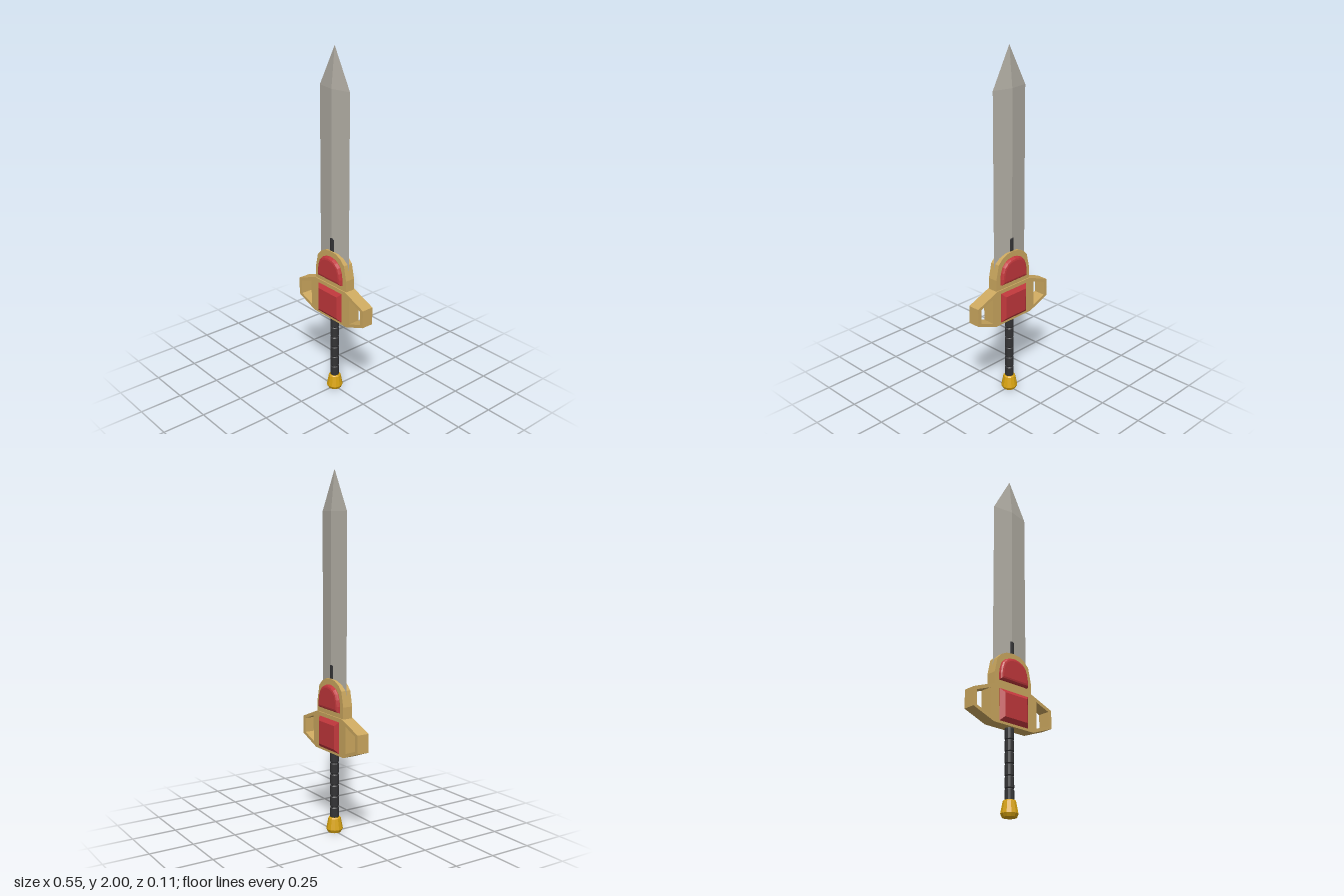
import * as THREE from 'three';

const mat = (name, color) => {
  const m = new THREE.MeshStandardMaterial({ color, flatShading: true });
  m.name = name;
  return m;
};

export function createModel() {
  const steel = mat('steel', 0xb4b0a6);
  const tan = mat('tan gold', 0xcca85f);
  const red = mat('red enamel', 0xc2383c);
  const black = mat('black grip', 0x333335);
  const gold = mat('pommel gold', 0xd9a411);

  const model = new THREE.Group();
  model.name = 'sword';
  const add = (name, geometry, material, y = 0) => {
    const mesh = new THREE.Mesh(geometry, material);
    mesh.name = name;
    mesh.position.y = y;
    model.add(mesh);
    return mesh;
  };
  const points = (list) => list.map(([x, y]) => new THREE.Vector2(x, y));

  // Outline given for +x only, mirrored to a closed symmetric shape
  const mirrored = (half) => new THREE.Shape(points([
    ...half,
    ...half.filter(([x]) => x > 0).reverse().map(([x, y]) => [-x, y]),
  ]));

  // Extrusion centred on z = 0, with an optional bevel cut into the outline
  const slab = (shape, halfDepth, bevel = 0, thickness = 0, segments = 1) => {
    const depth = 2 * (halfDepth - thickness);
    return new THREE.ExtrudeGeometry(shape, {
      depth, bevelEnabled: bevel > 0, bevelSize: bevel, bevelOffset: -bevel,
      bevelThickness: thickness, bevelSegments: segments, curveSegments: 10,
    }).translate(0, 0, -depth / 2);
  };

  // Diamond-section blade and its point
  const bladeBottom = 0.7, shoulder = 1.78, top = 2;
  add('blade', new THREE.CylinderGeometry(1, 1, shoulder - bladeBottom, 4, 1, true)
    .scale(0.119, 1, 0.022), steel, (shoulder + bladeBottom) / 2);
  add('bladeTip', new THREE.ConeGeometry(1, top - shoulder, 4, 1, true)
    .scale(0.119, 1, 0.022), steel, (shoulder + top) / 2);

  // Lower guard with a window through each wing
  const lower = mirrored([[0.138, 0.463], [0.275, 0.515], [0.275, 0.618], [0.128, 0.675]]);
  for (const s of [-1, 1]) {
    lower.holes.push(new THREE.Path(points([
      [s * 0.163, 0.492], [s * 0.252, 0.525], [s * 0.252, 0.607], [s * 0.163, 0.641],
    ])));
  }
  add('lowerGuard', slab(lower, 0.035), tan);

  // Arched upper guard
  add('upperGuard', slab(mirrored([
    [0.13, 0.66], [0.13, 0.74], [0.111, 0.825], [0.083, 0.853], [0.045, 0.872], [0, 0.878],
  ]), 0.029), tan);

  // Bevelled red insets showing on both faces
  add('lowerInset', slab(mirrored([[0.1, 0.477], [0.1, 0.653]]), 0.054, 0.022, 0.018), red);
  add('upperInset', slab(mirrored([
    [0.1, 0.703], [0.1, 0.738], [0.094, 0.775], [0.082, 0.806], [0.06, 0.828],
    [0.032, 0.84], [0, 0.845],
  ]), 0.049, 0.018, 0.017, 3), red);

  // Ridged grip
  const grip = [], rings = 6, y0 = 0.08, step = 0.064;
  for (let i = 0; i < rings; i++) {
    const y = y0 + i * step;
    grip.push([0.021, y], [0.025, y + 0.006], [0.025, y + step - 0.006]);
  }
  grip.push([0.021, y0 + rings * step]);
  add('grip', new THREE.LatheGeometry(points(grip), 12), black);

  // Rod running up through the guard into the blade, with a blunt point
  add('rod', new THREE.LatheGeometry(points([
    [0.025, 0.46], [0.025, 0.948], [0.014, 0.968], [0, 0.968],
  ]), 12), black);

  // Flared pommel
  add('pommel', new THREE.LatheGeometry(points([
    [0, 0], [0.038, 0], [0.047, 0.018], [0.035, 0.08], [0.03, 0.086], [0, 0.086],
  ]), 12), gold);

  return model;
}
